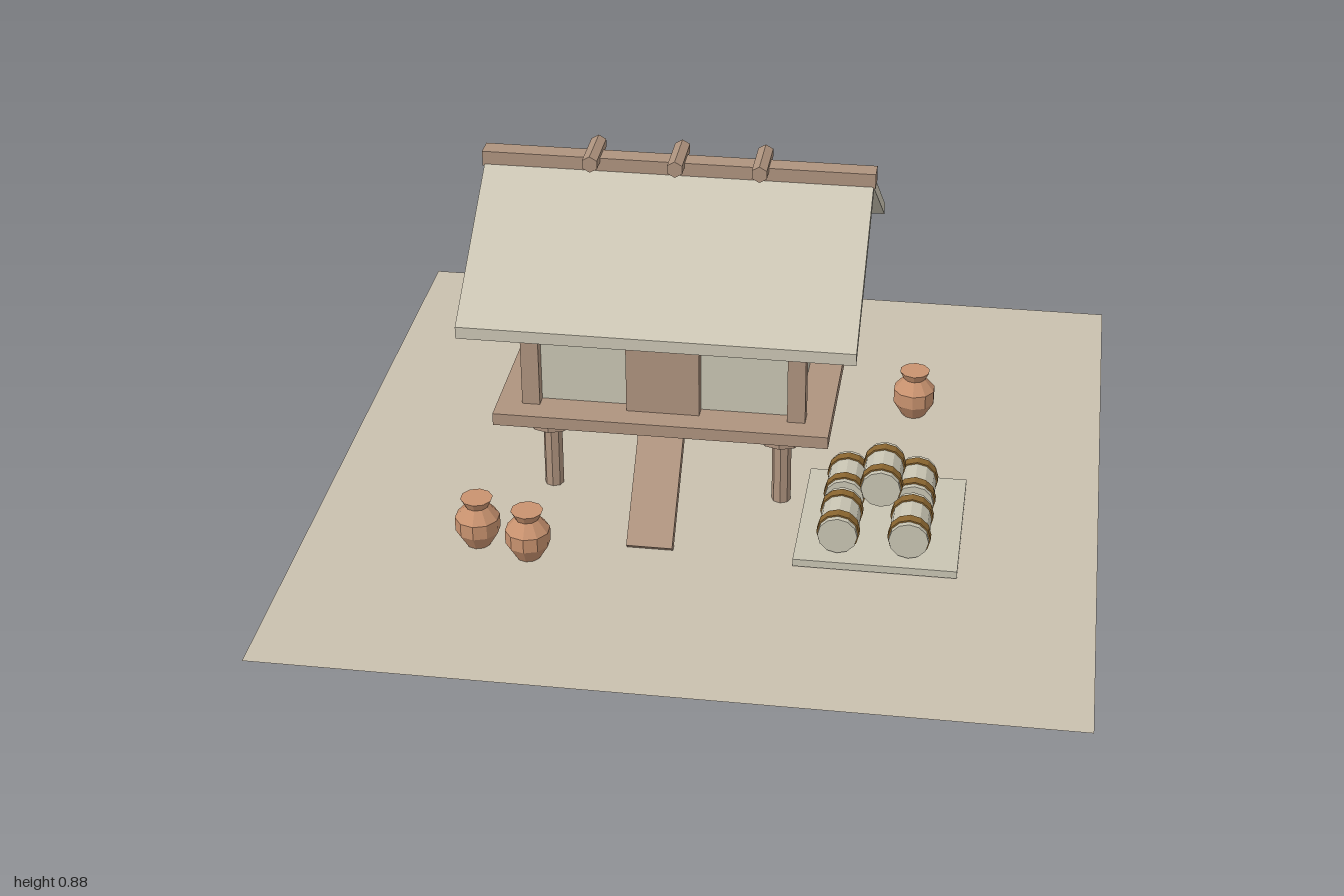
import * as THREE from 'three';

const mat = (name, color, double = false) => {
  const m = new THREE.MeshStandardMaterial({ color, flatShading: true });
  m.name = name;
  if (double) m.side = THREE.DoubleSide;
  return m;
};

export function createModel() {
  const root = new THREE.Group();
  root.name = 'stiltStorehouse';

  const ground = mat('ground', 0xc9c0ae, true);
  const thatch = mat('thatch', 0xcbc5b3);
  const plaster = mat('plaster', 0xc8c4b2);
  const wood = mat('wood', 0xae937e);
  const clay = mat('clay', 0xc8926f);
  const strap = mat('strap', 0x8a6530);

  const add = (parent, name, geo, material, x, y, z) => {
    const m = new THREE.Mesh(geo, material);
    m.name = name;
    m.position.set(x, y, z);
    parent.add(m);
    return m;
  };
  const box = (parent, name, material, w, h, d, x, y, z) =>
    add(parent, name, new THREE.BoxGeometry(w, h, d), material, x, y, z);

  // Ground sheet
  add(root, 'ground', new THREE.PlaneGeometry(2, 2).rotateX(-Math.PI / 2), ground, 0, 0.01, 0);

  // House, centred on its own origin
  const house = new THREE.Group();
  house.name = 'house';
  house.position.set(-0.12, 0, -0.12);
  root.add(house);

  // Stilts with round guards under the floor
  const legGeo = new THREE.CylinderGeometry(0.025, 0.025, 0.25, 8);
  const guardGeo = new THREE.CylinderGeometry(0.064, 0.064, 0.02, 10);
  for (const x of [-0.3, 0, 0.3]) {
    for (const z of [-0.238, 0.238]) {
      add(house, 'stilt', legGeo, wood, x, 0.125, z);
      add(house, 'stiltGuard', guardGeo, wood, x, 0.206, z);
    }
  }

  // Floor, walls, corner posts and door
  box(house, 'floor', wood, 0.86, 0.033, 0.72, 0, 0.261, 0);
  box(house, 'walls', plaster, 0.69, 0.25, 0.53, 0, 0.403, 0);
  for (const x of [-0.342, 0.342])
    for (const z of [-0.27, 0.275])
      box(house, 'cornerPost', wood, 0.046, 0.265, 0.046, x, 0.41, z);
  box(house, 'door', wood, 0.188, 0.2, 0.04, 0, 0.376, 0.278);

  // Sloping entry ramp
  const ramp = box(house, 'ramp', wood, 0.117, 0.03, 0.31, 0, 0.127, 0.417);
  ramp.rotation.x = 0.806;

  // Gabled roof, extruded along the ridge
  const gable = new THREE.Shape([
    [-0.42, 0.525], [0, 0.803], [0.42, 0.525], [0.42, 0.557], [0, 0.837], [-0.42, 0.557],
  ].map(([a, b]) => new THREE.Vector2(a, b)));
  const roofGeo = new THREE.ExtrudeGeometry(gable, { depth: 1, bevelEnabled: false });
  roofGeo.translate(0, 0, -0.5).rotateY(Math.PI / 2);
  add(house, 'roof', roofGeo, thatch, 0, 0, 0);

  // Ridge beam and the short logs across it
  box(house, 'ridgeBeam', wood, 1.01, 0.04, 0.052, 0, 0.835, 0);
  const logGeo = new THREE.CylinderGeometry(0.022, 0.022, 0.136, 6).rotateX(Math.PI / 2);
  for (const x of [-0.218, 0, 0.215]) add(house, 'ridgeLog', logGeo, wood, x, 0.855, 0);

  // Clay jars
  const jarGeo = new THREE.LatheGeometry([
    [0, 0], [0.032, 0], [0.057, 0.042], [0.057, 0.08], [0.03, 0.112], [0.041, 0.134], [0, 0.134],
  ].map(([r, y]) => new THREE.Vector2(r, y)), 10);
  for (const [x, z] of [[-0.555, 0.43], [-0.418, 0.47], [0.49, -0.36]])
    add(root, 'jar', jarGeo, clay, x, 0.011, z);

  // Stacked barrels on a low board
  const stack = new THREE.Group();
  stack.name = 'barrelStack';
  root.add(stack);
  box(stack, 'board', plaster, 0.41, 0.02, 0.43, 0.45, 0.023, 0.215);
  const bodyGeo = new THREE.CylinderGeometry(0.05, 0.05, 0.15, 12).rotateX(Math.PI / 2);
  const strapGeo = new THREE.CylinderGeometry(0.054, 0.054, 0.026, 12).rotateX(Math.PI / 2);
  const spots = [
    [0.352, 0.085, 0.315], [0.352, 0.085, 0.138],
    [0.53, 0.085, 0.315], [0.53, 0.085, 0.138], [0.45, 0.17, 0.22],
  ];
  for (const [x, y, z] of spots) {
    add(stack, 'barrel', bodyGeo, plaster, x, y, z);
    for (const s of [-1, 1]) add(stack, 'barrelStrap', strapGeo, strap, x, y, z + s * 0.048);
  }

  return root;
}
